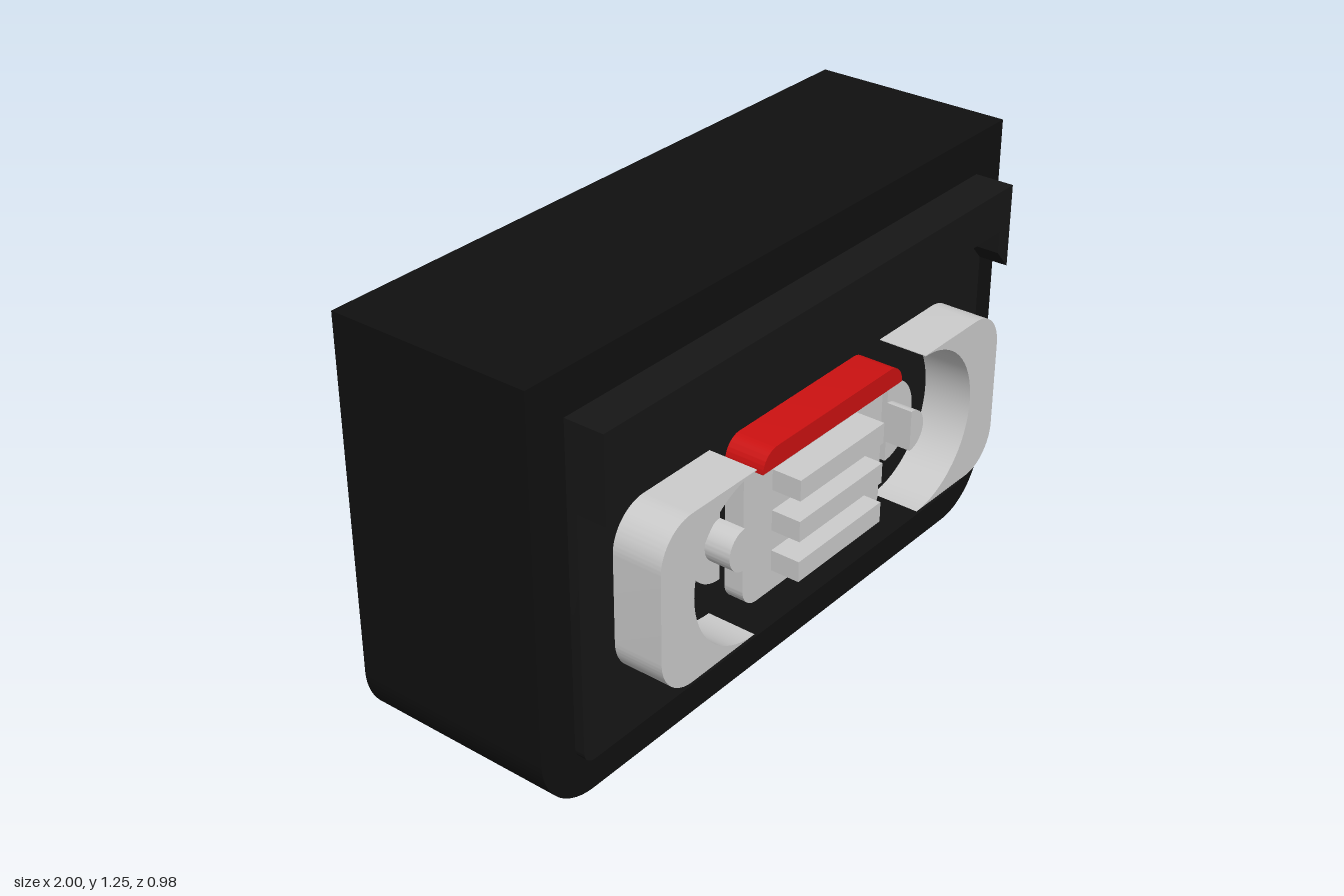
import * as THREE from 'three';
import { toCreasedNormals } from 'three/addons/utils/BufferGeometryUtils.js';

const shell = new THREE.MeshStandardMaterial({ color: 0x101010 });
const panelBlack = new THREE.MeshStandardMaterial({ color: 0x161616 });
const grey = new THREE.MeshStandardMaterial({ color: 0xcccccc });
const red = new THREE.MeshStandardMaterial({ color: 0xcc1111 });

// Rectangle with its own radius at each corner: bottom left, bottom right, top right, top left
function roundedRect(x0, y0, x1, y1, [bl, br, tr, tl]) {
  const s = new THREE.Shape();
  const corner = (x, y, r, start) => {
    if (r > 0) s.absarc(x, y, r, start, start + Math.PI / 2, false);
    else s.lineTo(x, y);
  };
  s.moveTo(x0 + bl, y0);
  corner(x1 - br, y0 + br, br, -Math.PI / 2);
  corner(x1 - tr, y1 - tr, tr, 0);
  corner(x0 + tl, y1 - tl, tl, Math.PI / 2);
  corner(x0 + bl, y0 + bl, bl, Math.PI);
  return s;
}

// Extrude a front outline between two z depths, keeping curved walls smooth
function slab(name, shape, z0, z1, material) {
  const geo = new THREE.ExtrudeGeometry(shape, { depth: z1 - z0, bevelEnabled: false, curveSegments: 16 });
  geo.translate(0, 0, z0);
  const mesh = new THREE.Mesh(toCreasedNormals(geo, 0.6), material);
  mesh.name = name;
  return mesh;
}

// Half disc bulging away from the centre; side is 1 or -1
function halfDisc(side, r) {
  const s = new THREE.Shape();
  const start = side > 0 ? -Math.PI / 2 : Math.PI / 2;
  s.absarc(side * 0.375, 0.565, r, start, start + Math.PI, false);
  s.closePath();
  return s;
}

// Window frame with rounded outer corners and a half-round bite for the reel
function frameShape(side) {
  const s = new THREE.Shape();
  const h = Math.PI / 2, r = 0.12;
  const x = 0.375, y0 = 0.315, y1 = 0.815;
  const outline = new THREE.Path();
  outline.moveTo(x, y0);
  outline.absarc(0.75 - r, y0 + r, r, -h, 0, false);
  outline.absarc(0.75 - r, y1 - r, r, 0, h, false);
  outline.lineTo(x, y1);
  outline.absarc(x, 0.565, 0.248, h, -h, true);
  const points = outline.getPoints(16).map((p) => new THREE.Vector2(p.x * side, p.y));
  s.setFromPoints(points);
  return s;
}

// Everything raised from one large face
function buildFace(name) {
  const face = new THREE.Group();
  face.name = name;

  // Raised panel, stopping short of the hood to leave a groove
  face.add(slab('facePanel', roundedRect(-0.875, 0.125, 0.875, 0.935, [0.04, 0.04, 0, 0]), 0.3, 0.34, panelBlack));

  // Overhanging hood with a slanted tab at each end
  const hood = new THREE.Shape([
    [-0.875, 0.875], [-0.82, 0.935], [-0.82, 1], [0.82, 1], [0.82, 0.935],
    [0.875, 0.875], [0.875, 1.125], [-0.875, 1.125],
  ].map(([x, y]) => new THREE.Vector2(x, y)));
  face.add(slab('hood', hood, 0.3, 0.43, panelBlack));

  // Reel windows and cut-off hubs
  for (const side of [-1, 1]) {
    const label = side > 0 ? 'left' : 'right';
    face.add(slab(label + 'WindowFrame', frameShape(side), 0.33, 0.49, grey));
    face.add(slab(label + 'ReelDisc', halfDisc(side, 0.125), 0.33, 0.375, grey));
    face.add(slab(label + 'ReelHub', halfDisc(side, 0.0625), 0.33, 0.455, grey));
  }

  // Central plate with a red strip and three raised bars
  face.add(slab('centrePlate', roundedRect(-0.31, 0.315, 0.31, 0.756, [0.06, 0.06, 0, 0]), 0.33, 0.4, grey));
  face.add(slab('redStrip', roundedRect(-0.31, 0.755, 0.31, 0.815, [0, 0, 0.059, 0.059]), 0.33, 0.46, red));
  for (let i = 0; i < 3; i++) {
    const bar = new THREE.Mesh(new THREE.BoxGeometry(0.375, 0.0625, 0.1), grey);
    bar.position.set(0, 0.41 + i * 0.125, 0.44);
    bar.name = 'plateBar' + (i + 1);
    face.add(bar);
  }
  return face;
}

export function createModel() {
  const model = new THREE.Group();
  model.name = 'cassette';
  model.add(slab('body', roundedRect(-1, 0, 1, 1.25, [0.19, 0.19, 0, 0]), -0.31, 0.31, shell));
  const back = buildFace('backFace');
  back.rotation.y = Math.PI;
  model.add(buildFace('frontFace'), back);
  return model;
}
